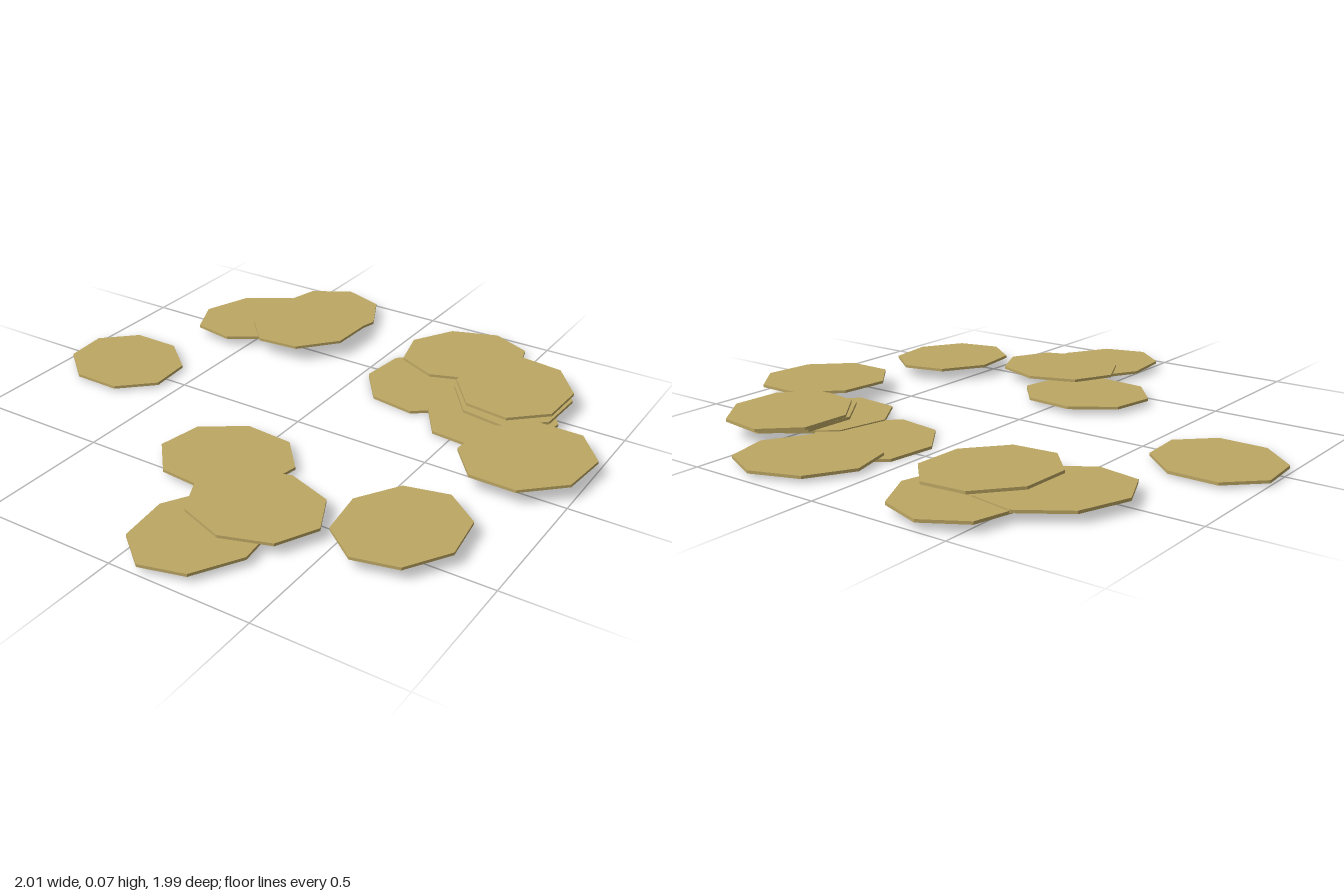
import * as THREE from 'three';

// Scattered eight-sided plates, listed from the lowest to the highest:
// centre x, centre z, half-axis 1, half-axis 2, turn in degrees
const PLATES = [
  [0.24, -0.487, 0.215, 0.23, -15],
  [0.56, -0.385, 0.209, 0.244, 31],
  [-0.785, -0.017, 0.231, 0.204, 21],
  [0.267, -0.752, 0.237, 0.208, -40],
  [-0.043, 0.356, 0.235, 0.206, -15],
  [0.15, 0.75, 0.197, 0.248, 12],
  [-0.365, -0.77, 0.207, 0.23, -6],
  [-0.56, -0.575, 0.195, 0.25, 38],
  [0.217, 0.564, 0.235, 0.2, 0.5],
  [0.648, 0.422, 0.2, 0.232, 12],
  [0.575, -0.513, 0.209, 0.245, -17],
  [0.797, -0.142, 0.212, 0.239, 26],
  [-0.337, -0.595, 0.2, 0.237, 21],
  [0.568, -0.54, 0.208, 0.239, -18],
];
const THICKNESS = 0.01;
const STEP = 0.0043; // rise from one plate to the next

export function createModel() {
  const group = new THREE.Group();
  group.name = 'scatteredPlates';

  const straw = new THREE.MeshStandardMaterial({ color: 0xbda763, flatShading: true });
  straw.name = 'straw';

  const octagon = new THREE.CylinderGeometry(1, 1, THICKNESS, 8);

  PLATES.forEach(([x, z, a, b, turn], i) => {
    const plate = new THREE.Mesh(octagon, straw);
    plate.name = `plate${i + 1}`;
    plate.scale.set(a, 1, b);
    plate.rotation.y = -THREE.MathUtils.degToRad(turn);
    plate.position.set(x, THICKNESS / 2 + i * STEP, z);
    group.add(plate);
  });

  return group;
}
